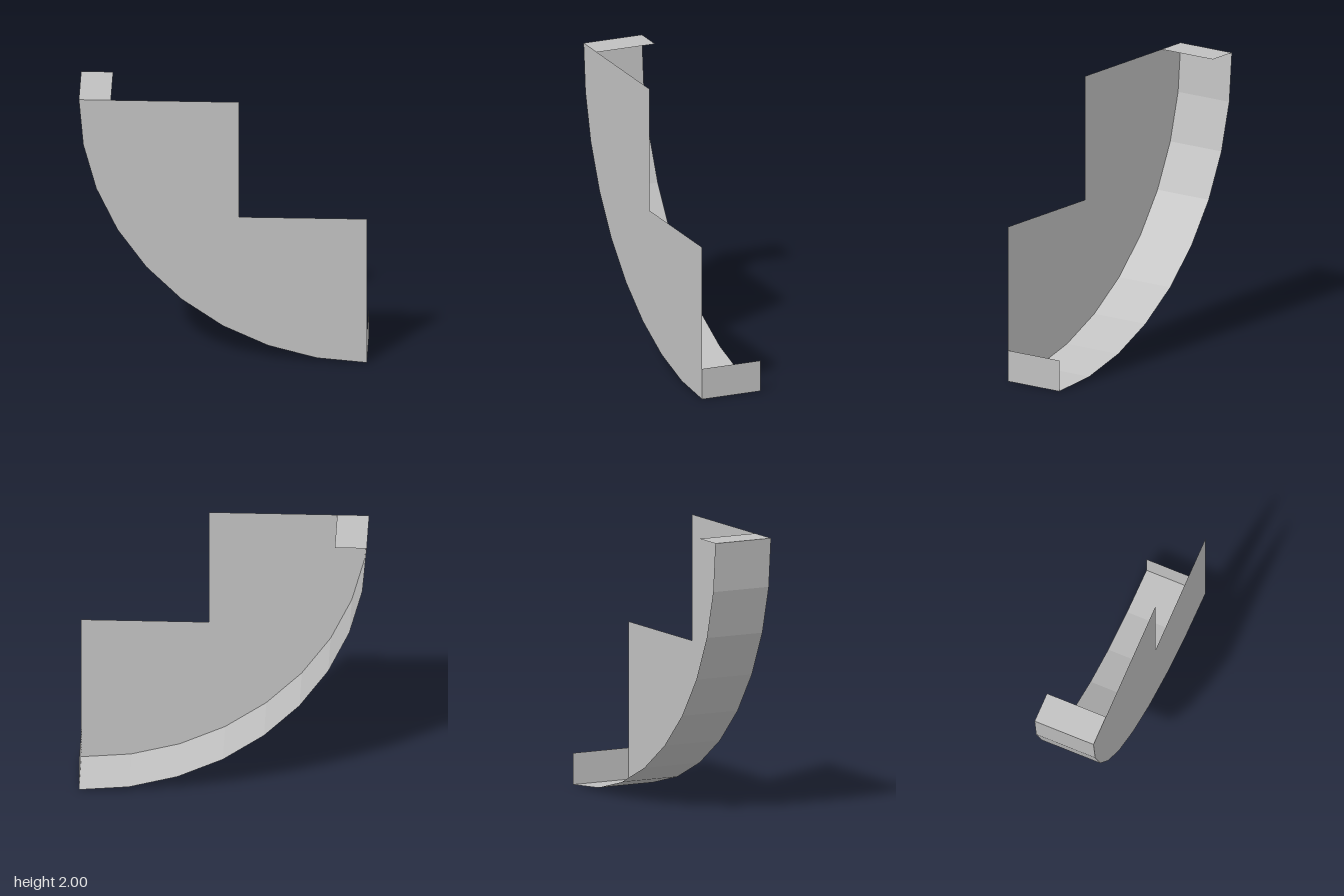
import * as THREE from 'three';

const HALF = 0.222; // half depth of the bracket
const LIP = 0.222;  // length of the folded lips

// Strip of flat panels running along a path, from the back edge to the front edge
function panelStrip(points) {
  const pos = [];
  for (let i = 0; i < points.length - 1; i++) {
    const p = points[i], q = points[i + 1];
    const pb = [p.x, p.y, -HALF], pf = [p.x, p.y, HALF];
    const qb = [q.x, q.y, -HALF], qf = [q.x, q.y, HALF];
    pos.push(...pb, ...qb, ...qf, ...pb, ...qf, ...pf);
  }
  const geo = new THREE.BufferGeometry();
  geo.setAttribute('position', new THREE.Float32BufferAttribute(pos, 3));
  geo.computeVertexNormals();
  return geo;
}

export function createModel() {
  const group = new THREE.Group();
  const grey = new THREE.MeshStandardMaterial({ color: 0xc0c0c0, side: THREE.DoubleSide, flatShading: true });
  grey.name = 'light grey';

  const add = (name, geo) => {
    const mesh = new THREE.Mesh(geo, grey);
    mesh.name = name;
    group.add(mesh);
    return mesh;
  };

  // Quarter circle of radius 2 around (1, 2), in nine steps
  const arc = [];
  for (let i = 0; i <= 9; i++) {
    const a = (i / 9) * Math.PI / 2;
    arc.push(new THREE.Vector2(1 - 2 * Math.cos(a), 2 - 2 * Math.sin(a)));
  }

  // Front plate: quarter disc with a square corner cut out
  const outline = [
    ...arc,
    new THREE.Vector2(1, 1.111),
    new THREE.Vector2(0.111, 1.111),
    new THREE.Vector2(0.111, 2),
  ];
  add('frontPlate', new THREE.ShapeGeometry(new THREE.Shape(outline))).position.z = HALF;

  // Curved rim and the short lips at its two ends
  add('curvedRim', panelStrip(arc));
  add('topLip', panelStrip([new THREE.Vector2(-1 + LIP, 2), arc[0]]));
  add('sideLip', panelStrip([arc[9], new THREE.Vector2(1, LIP)]));

  return group;
}
